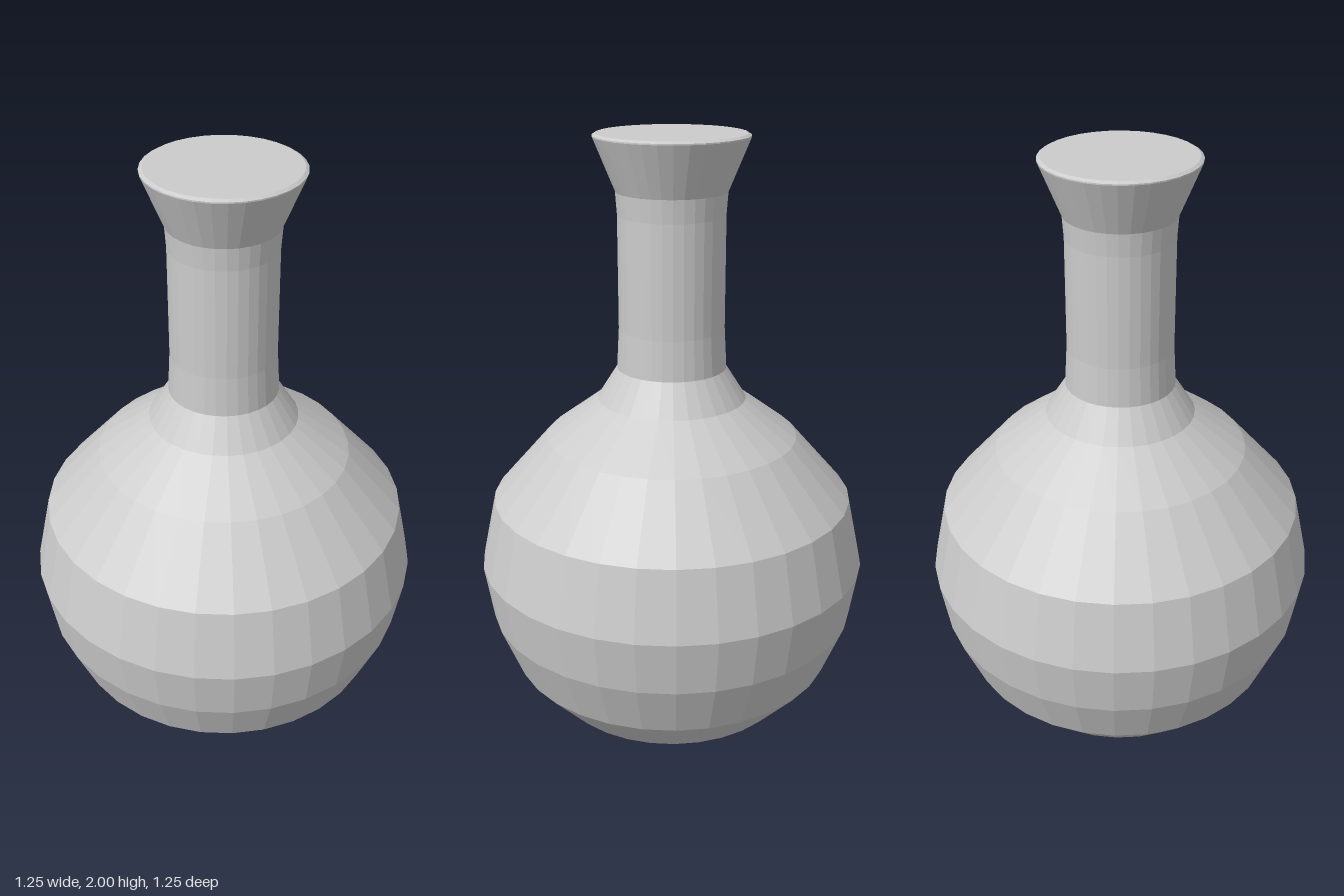
import * as THREE from 'three';

const SIDES = 32;

export function createModel() {
  const group = new THREE.Group();
  group.name = 'flask';
  const material = new THREE.MeshStandardMaterial({ color: 0xcccccc, flatShading: true });

  // Spins a profile of [radius, height] points, listed from bottom to top.
  const turn = (name, profile) => {
    const points = profile.map(([r, y]) => new THREE.Vector2(r, y));
    const mesh = new THREE.Mesh(new THREE.LatheGeometry(points, SIDES), material);
    mesh.name = name;
    group.add(mesh);
  };

  // Round body with a faceted, slightly pointed base
  turn('body', [
    [0, 0], [0.11, 0.012], [0.225, 0.05], [0.395, 0.145], [0.527, 0.287], [0.597, 0.462],
    [0.625, 0.64], [0.577, 0.86], [0.4, 1.062], [0.235, 1.185],
  ]);

  // Shoulder and slim neck
  turn('neck', [
    [0.235, 1.185], [0.172, 1.285], [0.165, 1.41], [0.165, 1.76], [0.17, 1.83],
  ]);

  // Flared mouth with a thin bevelled rim
  turn('mouth', [[0.17, 1.83], [0.236, 1.99], [0.236, 1.994], [0.226, 2]]);

  // Flat closed top
  turn('stopper', [[0.226, 2], [0, 2]]);

  return group;
}
